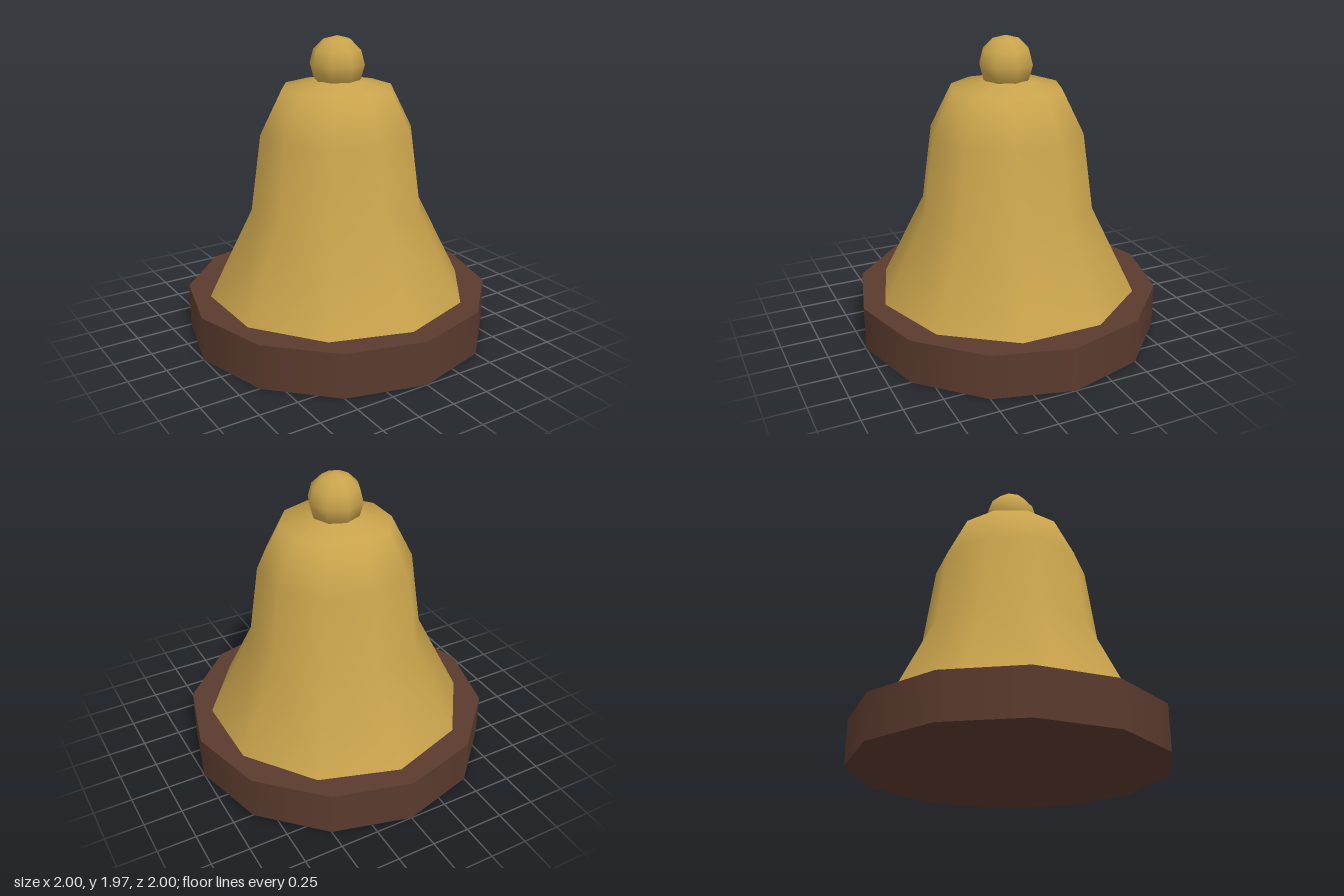
import * as THREE from 'three';

export function createModel() {
  const group = new THREE.Group();
  const brass = new THREE.MeshStandardMaterial({ color: 0xc9a34c });
  brass.name = 'brass';
  const wood = new THREE.MeshStandardMaterial({ color: 0x5a3a2d });
  wood.name = 'darkWood';

  const add = (name, geometry, material, y = 0) => {
    const mesh = new THREE.Mesh(geometry, material);
    mesh.name = name;
    mesh.position.y = y;
    group.add(mesh);
  };

  // Twelve-sided wooden base
  const baseHeight = 0.29;
  add('base', new THREE.CylinderGeometry(1, 1, baseHeight, 12), wood, baseHeight / 2);

  // Ten-sided flared bell, profile from rim to crown
  const profile = [
    [0.857, baseHeight], [0.57, 0.86], [0.5, 1.36], [0.357, 1.645], [0, 1.72],
  ].map(([r, y]) => new THREE.Vector2(r, y));
  add('bell', new THREE.LatheGeometry(profile, 10), brass);

  // Round knob sunk into the crown
  add('knob', new THREE.SphereGeometry(0.178, 8, 6), brass, 1.79);

  return group;
}
